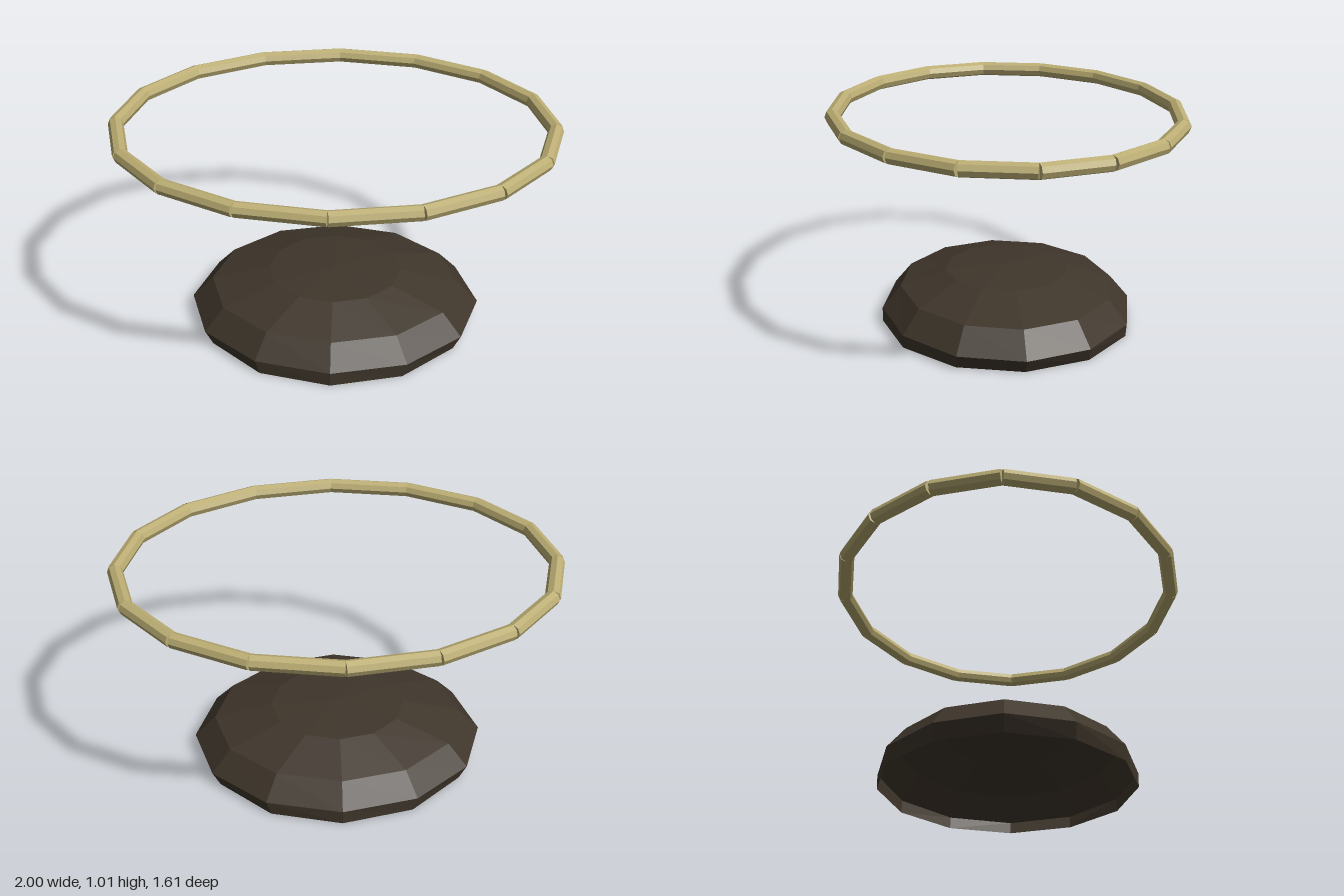
import * as THREE from 'three';

// Faceted dome, open underneath; each row is [x radius, z radius, height]
function createDome() {
  const rows = [
    [0.635, 0.578, 0],
    [0.675, 0.578, 0.065],
    [0.577, 0.492, 0.169],
    [0.31, 0.282, 0.239],
    [0, 0, 0.257],
  ];
  const profile = rows.map(([, , y]) => new THREE.Vector2(1, y));
  const geometry = new THREE.LatheGeometry(profile, 12);
  const pos = geometry.attributes.position;
  for (let i = 0; i < pos.count; i++) {
    const [rx, rz] = rows[i % rows.length];
    pos.setX(i, pos.getX(i) * rx);
    pos.setZ(i, pos.getZ(i) * rz);
  }
  const flat = geometry.toNonIndexed();
  flat.computeVertexNormals();
  const material = new THREE.MeshStandardMaterial({
    color: 0x3f362b, flatShading: true, side: THREE.DoubleSide,
  });
  const dome = new THREE.Mesh(flat, material);
  dome.name = 'dome';
  return dome;
}

// Floating oval ring of straight rods laid end to end
function createRing() {
  const ring = new THREE.Group();
  ring.name = 'ring';
  const count = 16;
  const up = new THREE.Vector3(0, 1, 0);
  const material = new THREE.MeshStandardMaterial({ color: 0xbcae74, flatShading: true });
  const corner = (i) => {
    const a = (i / count) * Math.PI * 2;
    return new THREE.Vector3(Math.cos(a) * 0.966, 0.978, Math.sin(a) * 0.771);
  };
  for (let i = 0; i < count; i++) {
    const a = corner(i);
    const b = corner(i + 1);
    const rod = new THREE.Mesh(
      new THREE.CylinderGeometry(0.034, 0.034, a.distanceTo(b), 8), material);
    rod.position.copy(a).add(b).multiplyScalar(0.5);
    rod.quaternion.setFromUnitVectors(up, b.clone().sub(a).normalize());
    // Roll the rod about its own axis so that a ridge runs along its top
    const side = new THREE.Vector3(0, 0, 1).applyQuaternion(rod.quaternion);
    const dir = up.clone().applyQuaternion(rod.quaternion);
    const roll = Math.atan2(side.clone().cross(up).dot(dir), side.dot(up));
    rod.rotateY(roll);
    rod.name = 'ringRod';
    ring.add(rod);
  }
  return ring;
}

export function createModel() {
  const model = new THREE.Group();
  model.name = 'domeAndRing';
  model.add(createDome(), createRing());
  return model;
}
